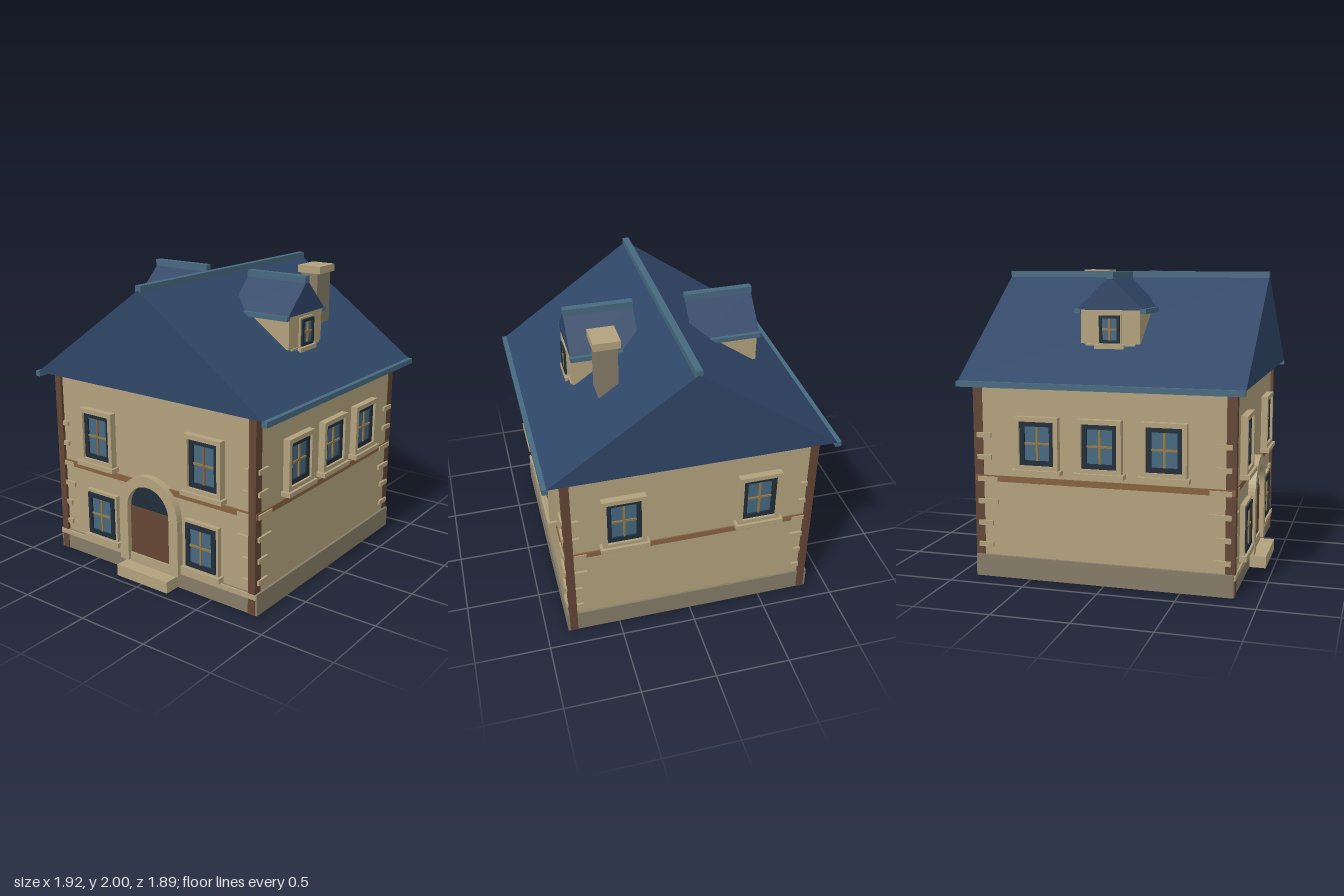
import * as THREE from 'three';

const mat = (name, color) => Object.assign(new THREE.MeshStandardMaterial({ color }), { name });
const M = {
  wall: mat('sandstone', 0xb2a27d),
  stone: mat('grey stone', 0x857b67),
  roof: mat('navy roof', 0x2f4667),
  trim: mat('blue trim', 0x47697f),
  frame: mat('dark frame', 0x212d39),
  glass: mat('window glass', 0x466880),
  wood: mat('dark wood', 0x634635),
  belt: mat('brown band', 0x876240),
  bar: mat('gold bars', 0x967a45),
};

function mesh(parent, name, geo, m) {
  const o = new THREE.Mesh(geo, m);
  o.name = name;
  parent.add(o);
  return o;
}

// Box given by its minimum and maximum on each axis
function box(parent, name, m, x0, x1, y0, y1, z0, z1) {
  const o = mesh(parent, name, new THREE.BoxGeometry(x1 - x0, y1 - y0, z1 - z0), m);
  o.position.set((x0 + x1) / 2, (y0 + y1) / 2, (z0 + z1) / 2);
  return o;
}

function group(parent, name) {
  const g = new THREE.Group();
  g.name = name;
  parent.add(g);
  return g;
}

function extrude(shape, depth) {
  return new THREE.ExtrudeGeometry(shape, { depth, bevelEnabled: false, curveSegments: 16 });
}

// Triangular roof prism with its ridge along z
function prism(half, y0, y1, z0, z1) {
  const s = new THREE.Shape([
    new THREE.Vector2(-half, y0), new THREE.Vector2(half, y0), new THREE.Vector2(0, y1),
  ]);
  return extrude(s, z1 - z0).translate(0, 0, z0);
}

// Window facing local +z, with the wall surface at z = 0
function addWindow(parent, name, pos, turn, o) {
  const g = group(parent, name);
  g.position.set(...pos);
  g.rotation.y = turn;
  const { w, h, rim, out, inset, sill, bar = M.bar } = o;
  const rect = (a, b) => [[-a, -b], [a, -b], [a, b], [-a, b]].map((p) => new THREE.Vector2(...p));
  const ring = (a, b, t, depth) => {
    const s = new THREE.Shape(rect(a + t, b + t));
    s.holes.push(new THREE.Path(rect(a, b).reverse()));
    return extrude(s, depth);
  };
  const t = 0.032 * (o.scale ?? 1);
  mesh(g, 'surround', ring(w, h, rim, out), M.wall);
  mesh(g, 'sash', ring(w - t, h - t, t, inset), M.frame);
  box(g, 'glass', M.glass, t - w, w - t, t - h, h - t, 0, inset - 0.012);
  box(g, 'verticalBar', bar, -0.007, 0.007, t - h, h - t, 0, inset - 0.002);
  box(g, 'crossBar', M.bar, t - w, w - t, -0.007, 0.007, 0, inset - 0.004);
  const s = w + rim + 0.018;
  box(g, 'sill', M.wall, -s, s, -h - rim - sill, -h - rim + 0.004, 0, out + 0.018);
}

export function createModel() {
  const house = new THREE.Group();
  house.name = 'house';
  const FRONT = 0.825, BACK = -0.866, SIDE = 0.837, MID = -0.02;

  // Walls, plinth and band
  box(house, 'walls', M.wall, -SIDE, SIDE, 0.14, 1.305, BACK, FRONT);
  box(house, 'plinth', M.stone, -0.855, 0.855, 0, 0.145, -0.88, 0.838);
  box(house, 'frontRail', M.wall, -0.85, 0.85, 0.11, 0.143, 0.8, 0.85);
  box(house, 'floorBand', M.belt, -0.843, 0.843, 0.64, 0.68, -0.876, 0.838);

  // Corner posts and corner stones
  const rows = [[0.215, 0], [0.36, 0], [0.505, 1], [0.655, 1], [0.8, 0], [0.945, 0]];
  for (const sx of [-1, 1]) {
    for (const sz of [-1, 1]) {
      const c = group(house, 'corner');
      const piece = (name, m, x0, x1, y0, y1, z0, z1) => {
        const b = box(c, name, m, x0, x1, y0, y1, z0, z1);
        b.position.x *= sx;
        b.position.z = MID + b.position.z * sz;
      };
      piece('post', M.wood, 0.788, 0.84, 0, 1.3, 0.8, 0.864);
      for (const [y, long] of rows) {
        const e = long * 0.04;
        piece('frontCornerStone', M.wall, 0.742 - e, 0.79, y - 0.016, y + 0.016, 0.8, 0.862);
        piece('sideCornerStone', M.wall, 0.8, 0.853, y - 0.016, y + 0.016, 0.74 - e, 0.838);
      }
    }
  }

  // Windows of the front, back and sides
  const upper = { w: 0.114, h: 0.16, rim: 0.03, out: 0.047, inset: 0.03, sill: 0.026 };
  const sideWin = { ...upper, w: 0.116, h: 0.143 };
  const lower = { w: 0.119, h: 0.15, rim: 0.018, out: 0.032, inset: 0.042, sill: 0.032 };
  for (const s of [-1, 1]) {
    addWindow(house, 'upperFrontWindow', [s * 0.452, 0.91, FRONT], 0, { ...upper, bar: M.belt });
    addWindow(house, 'lowerFrontWindow', [s * 0.43, 0.35, FRONT], 0, lower);
    addWindow(house, 'backWindow', [s * 0.452, 0.91, BACK], Math.PI, upper);
    for (const z of [0.398, -0.02, -0.438]) {
      addWindow(house, 'sideWindow', [s * SIDE, 0.908, z], s * Math.PI / 2, sideWin);
    }
  }

  // Arched doorway
  const door = group(house, 'doorway');
  const arch = new THREE.Shape();
  arch.moveTo(-0.252, 0.095);
  arch.lineTo(-0.178, 0.095);
  arch.lineTo(-0.178, 0.485);
  arch.absarc(0, 0.485, 0.178, Math.PI, 0, true);
  arch.lineTo(0.178, 0.095);
  arch.lineTo(0.252, 0.095);
  arch.lineTo(0.252, 0.485);
  arch.absarc(0, 0.485, 0.25, 0, Math.PI, false);
  mesh(door, 'archSurround', extrude(arch, 0.075), M.wall).position.z = 0.8;
  const fan = new THREE.Shape();
  fan.absarc(0, 0.485, 0.18, 0, Math.PI, false);
  mesh(door, 'fanlight', extrude(fan, 0.035), M.frame).position.z = 0.8;
  box(door, 'doorLeaf', M.wood, -0.179, 0.179, 0.145, 0.487, 0.8, 0.841);
  box(door, 'threshold', M.wall, -0.179, 0.179, 0.08, 0.147, 0.8, 0.853);
  box(door, 'step', M.wall, -0.218, 0.218, 0, 0.08, 0.8, 0.95);

  // Main roof with ridge and eaves trim
  const Z0 = -0.944, Z1 = 0.907;
  mesh(house, 'mainRoof', prism(0.931, 1.303, 1.963, Z0, Z1), M.roof);
  box(house, 'ridgeCap', M.trim, -0.022, 0.022, 1.945, 1.99, Z0, Z1);
  for (const s of [-1, 1]) {
    box(house, 'eavesTrim', M.trim, s * 0.939 - 0.019, s * 0.939 + 0.019, 1.27, 1.306, Z0, Z1);
  }

  // Dormers, built facing +z and turned to each side
  for (const s of [-1, 1]) {
    const d = group(house, 'dormer');
    d.position.z = MID;
    d.rotation.y = s * Math.PI / 2;
    box(d, 'dormerWalls', M.wall, -0.196, 0.196, 1.535, 1.757, 0.2, 0.623);
    mesh(d, 'dormerRoof', prism(0.222, 1.75, 1.963, 0.175, 0.63), M.roof);
    box(d, 'dormerRidge', M.trim, -0.024, 0.024, 1.945, 1.99, 0.175, 0.631);
    for (const k of [-1, 1]) {
      box(d, 'dormerEaves', M.trim, k * 0.218 - 0.02, k * 0.218 + 0.02, 1.727, 1.758, 0.28, 0.631);
    }
    box(d, 'dormerLedge', M.wall, -0.165, 0.165, 1.522, 1.536, 0.55, 0.63);
    addWindow(d, 'dormerWindow', [0, 1.628, 0.623], 0,
      { w: 0.068, h: 0.088, rim: 0.012, out: 0.012, inset: 0.025, sill: 0.024, scale: 0.6 });
  }

  // Chimney
  box(house, 'chimneyShaft', M.stone, 0.38, 0.51, 1.5, 1.96, -0.508, -0.342);
  box(house, 'chimneyCap', M.wall, 0.362, 0.535, 1.95, 2, -0.522, -0.328);

  return house;
}
